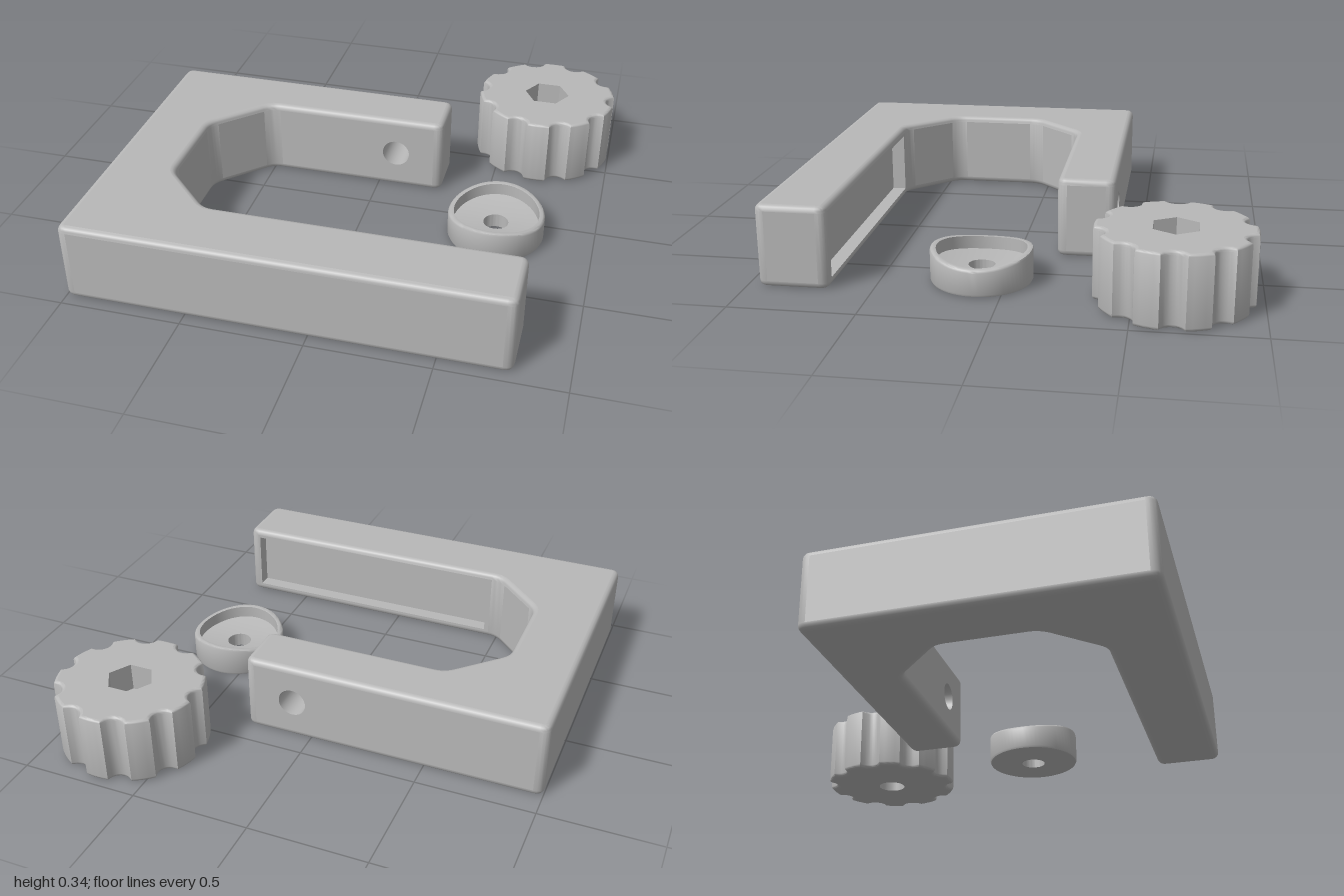
import * as THREE from 'three';
import { toCreasedNormals } from 'three/addons/utils/BufferGeometryUtils.js';

const V = (x, y) => new THREE.Vector2(x, y);

// Smooth rounded edges, keep broad and level faces flat, and drop the triangles that a rule picks
function finish(geometry, drop = () => false) {
  const geo = toCreasedNormals(geometry, 0.6);
  const p = geo.attributes.position, n = geo.attributes.normal;
  const pos = [], nor = [];
  const tri = new THREE.Triangle(), face = new THREE.Vector3();
  for (let i = 0; i < p.count; i += 3) {
    tri.setFromAttributeAndIndices(p, i, i + 1, i + 2);
    const corners = [tri.a, tri.b, tri.c];
    if (corners.every(drop)) continue;
    tri.getNormal(face);
    const flat = Math.abs(face.y) > 0.999 || tri.getArea() > 0.01;
    corners.forEach((c, k) => {
      pos.push(c.x, c.y, c.z);
      if (flat) nor.push(face.x, face.y, face.z);
      else nor.push(n.getX(i + k), n.getY(i + k), n.getZ(i + k));
    });
  }
  const out = new THREE.BufferGeometry();
  out.setAttribute('position', new THREE.Float32BufferAttribute(pos, 3));
  out.setAttribute('normal', new THREE.Float32BufferAttribute(nor, 3));
  return out;
}

// Plan outline (x, z) raised to a height with rounded rims
function raise(shape, height, bevel, bevelOffset) {
  const geo = new THREE.ExtrudeGeometry(shape, {
    depth: height - 2 * bevel, bevelThickness: bevel, bevelSize: bevel,
    bevelOffset, bevelSegments: 4, curveSegments: 5,
  });
  return geo.rotateX(Math.PI / 2).translate(0, height - bevel, 0);
}

// Polygon whose corners are softened by the given cut length
function softPolygon(corners, cut) {
  const shape = new THREE.Shape();
  corners.forEach(([x, y], i) => {
    const c = V(x, y);
    const toward = (q) => V(...q).sub(c).setLength(cut).add(c);
    const a = toward(corners.at(i - 1)), b = toward(corners[(i + 1) % corners.length]);
    if (i === 0) shape.moveTo(a.x, a.y); else shape.lineTo(a.x, a.y);
    shape.quadraticCurveTo(x, y, b.x, b.y);
  });
  shape.closePath();
  return shape;
}

function rectangle(x0, x1, y0, y1) {
  return [V(x0, y0), V(x1, y0), V(x1, y1), V(x0, y1)];
}

function circle(r, x = 0, y = 0, sides = 32) {
  return Array.from({ length: sides }, (_, i) => {
    const a = (i / sides) * Math.PI * 2;
    return V(x + r * Math.cos(a), y + r * Math.sin(a));
  });
}

function holed(outline, hole) {
  const shape = new THREE.Shape(outline);
  shape.holes.push(new THREE.Path(hole));
  return new THREE.ShapeGeometry(shape);
}

export function createModel() {
  const model = new THREE.Group();
  const grey = new THREE.MeshStandardMaterial({ color: 0xb8b8b8, side: THREE.DoubleSide });
  grey.name = 'grey plastic';
  const add = (parent, name, geo, x = 0, y = 0, z = 0) => {
    const mesh = new THREE.Mesh(geo, grey);
    mesh.name = name;
    mesh.position.set(x, y, z);
    parent.add(mesh);
    return mesh;
  };
  const group = (name, x = 0, z = 0) => {
    const g = new THREE.Group();
    g.name = name;
    g.position.set(x, 0, z);
    model.add(g);
    return g;
  };

  // Clamp frame; three of its walls are replaced by walls with openings
  const H = 0.335, B = 0.025, CUT = 0.04;
  const backZ = -0.4, innerBackZ = -0.16, innerFrontZ = 0.67;
  const frame = group('clampFrame');
  const outline = softPolygon([
    [-1, backZ], [0.29, backZ], [0.29, innerBackZ], [-0.5, innerBackZ], [-0.715, 0.055],
    [-0.715, 0.455], [-0.5, innerFrontZ], [0.79, innerFrontZ], [0.79, 0.955], [-1, 0.955],
  ], CUT);
  const onWall = (v) => [backZ, innerBackZ, innerFrontZ].some((z) => Math.abs(v.z - z) < 1e-4);
  add(frame, 'frameBody', finish(raise(outline, H, B, -B), onWall));

  const wall = (name, x0, x1, z, facing, hole) => {
    const flip = (pts) => pts.map((p) => V(p.x * facing, p.y));
    const geo = holed(flip(rectangle(x0 + CUT, x1 - CUT, B, H - B)), flip(hole));
    if (facing < 0) geo.rotateY(Math.PI);
    add(frame, name, geo, 0, 0, z);
  };
  const screwX = 0.08, screwR = 0.06;
  const screwHole = circle(screwR, screwX, H / 2);
  wall('shortArmOuterWall', -1, 0.29, backZ, -1, screwHole);
  wall('shortArmInnerWall', -0.5, 0.29, innerBackZ, 1, screwHole);
  const bore = new THREE.CylinderGeometry(screwR, screwR, innerBackZ - backZ, 32, 1, true);
  add(frame, 'screwBore', bore.rotateX(Math.PI / 2), screwX, H / 2, (backZ + innerBackZ) / 2);

  // Long shallow pocket in the inner face of the long arm
  const [px0, px1, py0, py1, depth] = [-0.44, 0.74, 0.036, 0.297, 0.06];
  wall('longArmInnerWall', -0.5, 0.79, innerFrontZ, -1, rectangle(px0, px1, py0, py1));
  const pocket = new THREE.BoxGeometry(px1 - px0, py1 - py0, depth);
  add(frame, 'jawPocket', finish(pocket, (v) => v.z < -depth / 2 + 1e-4),
    (px0 + px1) / 2, (py0 + py1) / 2, innerFrontZ + depth / 2);

  // Scalloped knob with a hexagonal nut pocket
  const knob = group('knob', 0.687, -0.655);
  const KH = 0.295, KB = 0.015, R = 0.31 - KB, notchR = 0.048 + KB, notchC = 0.322, N = 10;
  const d = (R * R + notchC * notchC - notchR * notchR) / (2 * notchC);
  const half = Math.acos(d / R);
  const turn = Math.atan2(R * Math.sin(half), notchC - d);
  const rim = [];
  for (let i = 0; i < N; i++) {
    const a = (i / N) * Math.PI * 2, step = (Math.PI * 2) / N;
    for (let k = 0; k <= 8; k++) {
      const t = a + Math.PI + turn * (1 - k / 4);
      rim.push(V(notchC * Math.cos(a) + notchR * Math.cos(t), notchC * Math.sin(a) + notchR * Math.sin(t)));
    }
    for (let k = 1; k < 5; k++) {
      const t = a + half + (step - 2 * half) * (k / 5);
      rim.push(V(R * Math.cos(t), R * Math.sin(t)));
    }
  }
  const isCap = (v) => v.y < 1e-4 || v.y > KH - 1e-4;
  add(knob, 'knobGrip', finish(raise(new THREE.Shape(rim), KH, KB, 0), isCap));
  const hexR = 0.1, hexDepth = 0.12, boreR = 0.062, floor = KH - hexDepth;
  const hexagon = circle(hexR, 0, 0, 6);
  add(knob, 'knobTop', holed(rim, hexagon).rotateX(-Math.PI / 2), 0, KH, 0);
  add(knob, 'knobBottom', holed(rim, circle(boreR)).rotateX(Math.PI / 2));
  const hexWall = new THREE.CylinderGeometry(hexR, hexR, hexDepth, 6, 1, true, Math.PI / 2);
  add(knob, 'nutPocket', toCreasedNormals(hexWall, 0.3), 0, KH - hexDepth / 2, 0);
  add(knob, 'nutPocketFloor', holed(hexagon, circle(boreR)).rotateX(-Math.PI / 2), 0, floor, 0);
  add(knob, 'knobBore', new THREE.CylinderGeometry(boreR, boreR, floor, 32, 1, true), 0, floor / 2, 0);

  // Pressure cup: a turned ring whose upper surfaces are bent into a saddle
  const profile = [
    [0.053, 0], [0.192, 0], [0.201, 0.004], [0.205, 0.013], [0.205, 0.1], [0.202, 0.108],
    [0.195, 0.113], [0.181, 0.113], [0.181, 0.06], [0.14, 0.06], [0.095, 0.06], [0.053, 0.06], [0.053, 0],
  ].map(([r, y]) => V(r, y));
  const cup = new THREE.LatheGeometry(profile, 64);
  const cp = cup.attributes.position;
  for (let i = 0; i < cp.count; i++) {
    if (cp.getY(i) > 0.05) cp.setY(i, cp.getY(i) + 0.7 * cp.getZ(i) ** 2);
  }
  add(model, 'pressureCup', toCreasedNormals(cup, 0.7), 0.583, 0, 0.103);

  return model;
}
